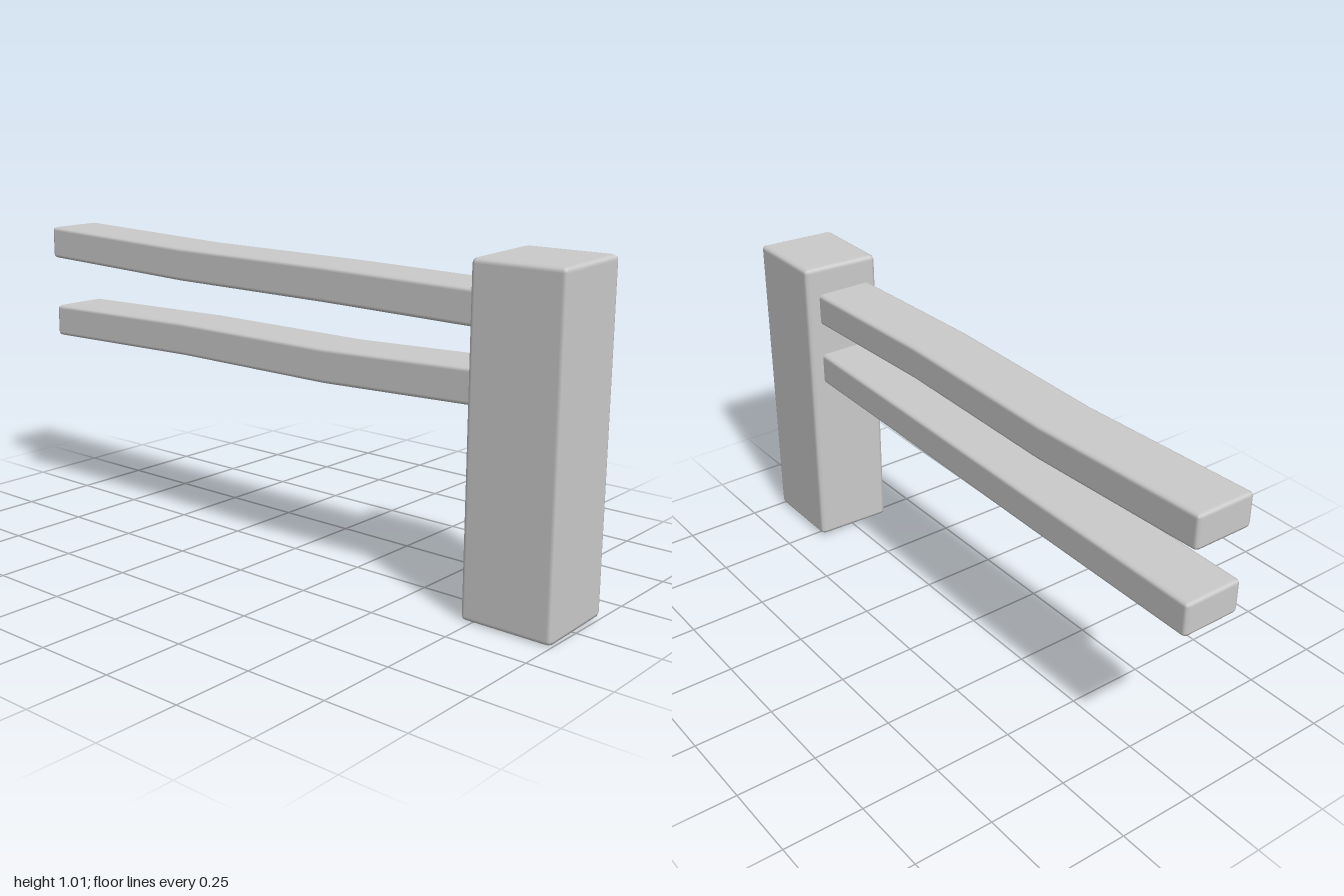
import * as THREE from 'three';

const material = new THREE.MeshStandardMaterial({ color: 0xcccccc });

// Box with softly bevelled edges; extra segments along z let it bend
function bevelledBox(w, h, d, r, zSegments = 1) {
  const size = [w, h, d];
  const segs = [3, 3, zSegments + 2];
  const geo = new THREE.BoxGeometry(w, h, d, ...segs);
  const pos = geo.attributes.position;
  const p = new THREE.Vector3(), inner = new THREE.Vector3(), n = new THREE.Vector3();
  for (let i = 0; i < pos.count; i++) {
    p.fromBufferAttribute(pos, i);
    for (let a = 0; a < 3; a++) {
      const half = size[a] / 2, lim = half - r, count = segs[a];
      const k = Math.round((p.getComponent(a) / size[a] + 0.5) * count);
      const v = k === 0 ? -half : k === count ? half
        : -lim + 2 * lim * (k - 1) / (count - 2);
      p.setComponent(a, v);
      inner.setComponent(a, THREE.MathUtils.clamp(v, -lim, lim));
    }
    n.subVectors(p, inner).normalize();
    p.copy(inner).addScaledVector(n, r);
    pos.setXYZ(i, p.x, p.y, p.z);
    geo.attributes.normal.setXYZ(i, n.x, n.y, n.z);
  }
  return geo;
}

// Shift each vertex by a rule of its position
function deform(geo, rule) {
  const pos = geo.attributes.position;
  for (let i = 0; i < pos.count; i++) {
    const [dx, dy] = rule(pos.getX(i), pos.getZ(i));
    pos.setXYZ(i, pos.getX(i) + dx, pos.getY(i) + dy, pos.getZ(i));
  }
  return geo;
}

// Linear interpolation through evenly spaced values, t in 0..1
function sample(values, t) {
  const s = THREE.MathUtils.clamp(t, 0, 1) * (values.length - 1);
  const i = Math.min(Math.floor(s), values.length - 2);
  return THREE.MathUtils.lerp(values[i], values[i + 1], s - i);
}

// Slightly crooked plank running from the back into the post
function rail(name, backZ, xs, ys) {
  const frontZ = 0.8, length = frontZ - backZ;
  const geo = bevelledBox(0.19, 0.104, length, 0.012, 3);
  deform(geo, (x, z) => {
    const t = z / length + 0.5;
    return [sample(xs, t), sample(ys, t)];
  });
  const mesh = new THREE.Mesh(geo, material);
  mesh.name = name;
  mesh.position.z = (frontZ + backZ) / 2;
  return mesh;
}

export function createModel() {
  const group = new THREE.Group();
  group.name = 'fenceSection';

  // Upright post, its ends cut a little out of level
  const postGeo = deform(bevelledBox(0.264, 1.0, 0.286, 0.015), (x) => [0, 0.03 * x]);
  const post = new THREE.Mesh(postGeo, material);
  post.name = 'post';
  post.position.set(0, 0.504, 0.857);
  group.add(post);

  // Two rails that spread apart towards the back
  const xs = [-0.015, -0.009, -0.018, -0.007];
  group.add(rail('upperRail', -1, xs, [0.891, 0.872, 0.872, 0.861]));
  group.add(rail('lowerRail', -0.99, xs, [0.624, 0.635, 0.635, 0.653]));

  return group;
}
